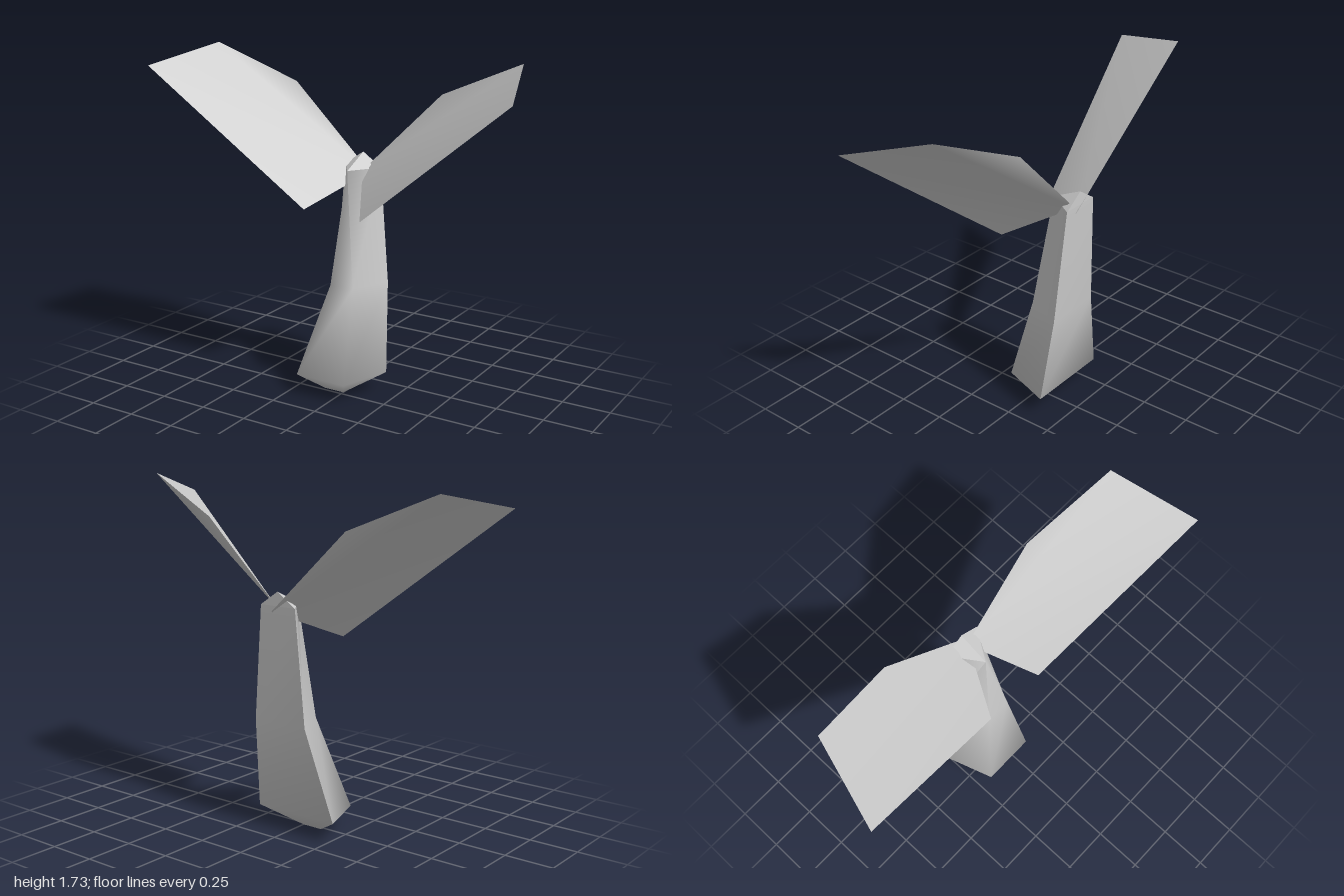
import * as THREE from 'three';
import { toCreasedNormals } from 'three/addons/utils/BufferGeometryUtils.js';

// Skin between open rows of [x, z] points, each row at its own height
function loft(rows, creaseAngle) {
  const pos = [];
  const tri = (p, q, r) => {
    const [a, b, c] = [p, q, r].map((v) => new THREE.Vector3(...v));
    if (b.clone().sub(a).cross(c.clone().sub(a)).length() > 1e-7) pos.push(...p, ...q, ...r);
  };
  const pts = rows.map(({ y, row }) => row.map(([x, z]) => [x, y, z]));
  for (let k = 0; k < pts.length - 1; k++) {
    const lo = pts[k], hi = pts[k + 1];
    for (let i = 0; i < lo.length - 1; i++) {
      tri(lo[i + 1], lo[i], hi[i]);
      tri(lo[i + 1], hi[i], hi[i + 1]);
    }
  }
  const geo = new THREE.BufferGeometry();
  geo.setAttribute('position', new THREE.Float32BufferAttribute(pos, 3));
  return toCreasedNormals(geo, creaseAngle);
}

// Flat leaf outline filled as a fan
function fan(points) {
  const geo = new THREE.BufferGeometry();
  geo.setAttribute('position', new THREE.Float32BufferAttribute(points.flat(), 3));
  const index = [];
  for (let i = 1; i < points.length - 1; i++) index.push(0, i, i + 1);
  geo.setIndex(index);
  geo.computeVertexNormals();
  return geo;
}

export function createModel() {
  const model = new THREE.Group();
  model.name = 'sprout';
  const grey = new THREE.MeshStandardMaterial({ color: 0xcccccc, side: THREE.DoubleSide });
  grey.name = 'pale grey';
  const add = (name, geo) => {
    const mesh = new THREE.Mesh(geo, grey);
    mesh.name = name;
    model.add(mesh);
  };

  // Stem corners: back right, back left, front left, front right
  const rootA = [-0.11, -0.02], rootB = [0, -0.02];
  const backA = [-0.12, -0.235], backB = [0.087, -0.235], front = [-0.015, -0.08];
  const stem = [
    { y: 0, ring: [rootA, rootB, rootB, rootA] },
    { y: 0.105, ring: [[-0.283, -0.15], [0.178, -0.15], [0.085, 0.115], [-0.195, 0.115]] },
    { y: 0.57, ring: [[-0.158, -0.21], [0.148, -0.21], [0.06, -0.01], [-0.07, -0.01]] },
    { y: 1.15, ring: [backA, backB, front, front] },
  ];
  // Smooth back and front meet in a sharp seam along each back edge
  const strip = (corners) => stem.map(({ y, ring }) => ({ y, row: corners.map((i) => ring[i]) }));
  add('stemBack', loft(strip([0, 1]), 2));
  add('stemFront', loft(strip([1, 2, 3, 0]), 2));

  // Three-sided cap rising to a peak at the back
  add('stemTip', loft([
    { y: 1.15, row: [backA, backB, front, backA] },
    { y: 1.22, row: Array(4).fill([-0.015, -0.235]) },
  ], 0.3));

  // Two thin spreading leaves, rooted inside the stem
  add('leftLeaf', fan([
    [-0.005, 1.13, -0.212], [0.163, 0.957, 0.1], [0.998, 1.617, 0.275],
    [0.865, 1.733, -0.14], [0.42, 1.545, -0.228],
  ]));
  add('rightLeaf', fan([
    [0.02, 1.12, -0.24], [-0.44, 1.535, -0.277], [-0.875, 1.715, -0.2],
    [-1, 1.632, 0.222], [-0.16, 0.973, 0.09],
  ]));
  return model;
}
